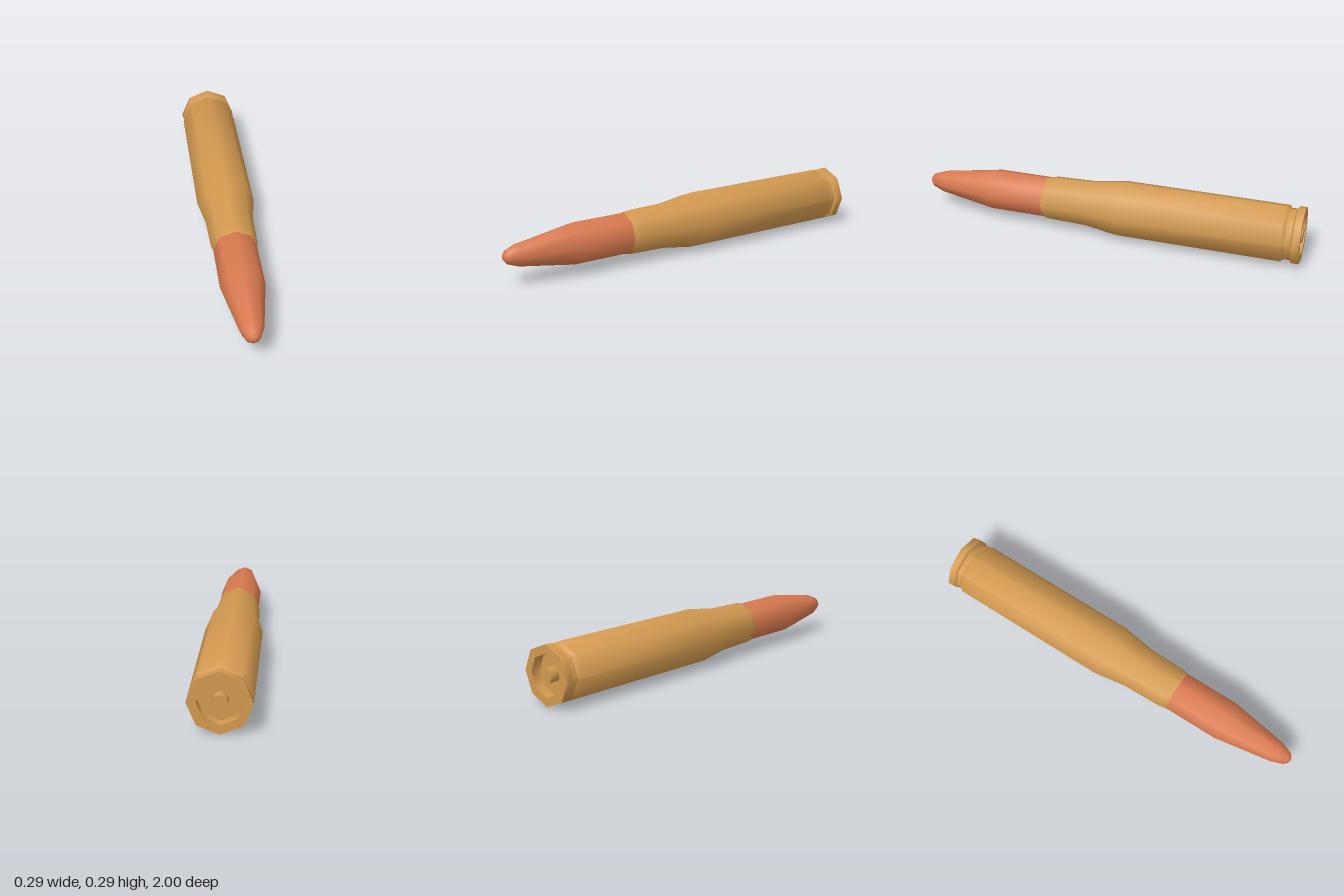
import * as THREE from 'three';
import { toCreasedNormals } from 'three/addons/utils/BufferGeometryUtils.js';

const SIDES = 8;
const AXIS_HEIGHT = 0.149;

// Eight-sided turned part along z; profile is [radius, z] from back to front
function turned(name, profile, color) {
  const points = profile.map(([r, z]) => new THREE.Vector2(r, z));
  const lathe = new THREE.LatheGeometry(points, SIDES);
  lathe.rotateX(Math.PI / 2);
  const geometry = toCreasedNormals(lathe, 0.9);
  const mesh = new THREE.Mesh(geometry, new THREE.MeshStandardMaterial({ color }));
  mesh.name = name;
  mesh.position.y = AXIS_HEIGHT;
  return mesh;
}

export function createModel() {
  const group = new THREE.Group();
  group.name = 'cartridge';

  // Brass case: primer, recessed base, rim, extractor groove, body, shoulder, neck
  group.add(turned('case', [
    [0, -1], [0.038, -1], [0.038, -0.95],
    [0.103, -0.95], [0.103, -1],
    [0.147, -1], [0.147, -0.963],
    [0.133, -0.955], [0.133, -0.925],
    [0.147, -0.912], [0.147, -0.07],
    [0.121, 0.1], [0.116, 0.3], [0.107, 0.34],
  ], 0xd39a50));

  // Copper bullet, seated inside the neck
  group.add(turned('bullet', [
    [0.1, 0.28], [0.108, 0.34], [0.108, 0.62],
    [0.058, 0.92], [0.035, 0.98], [0.016, 0.996], [0, 1],
  ], 0xd97a50));

  return group;
}
